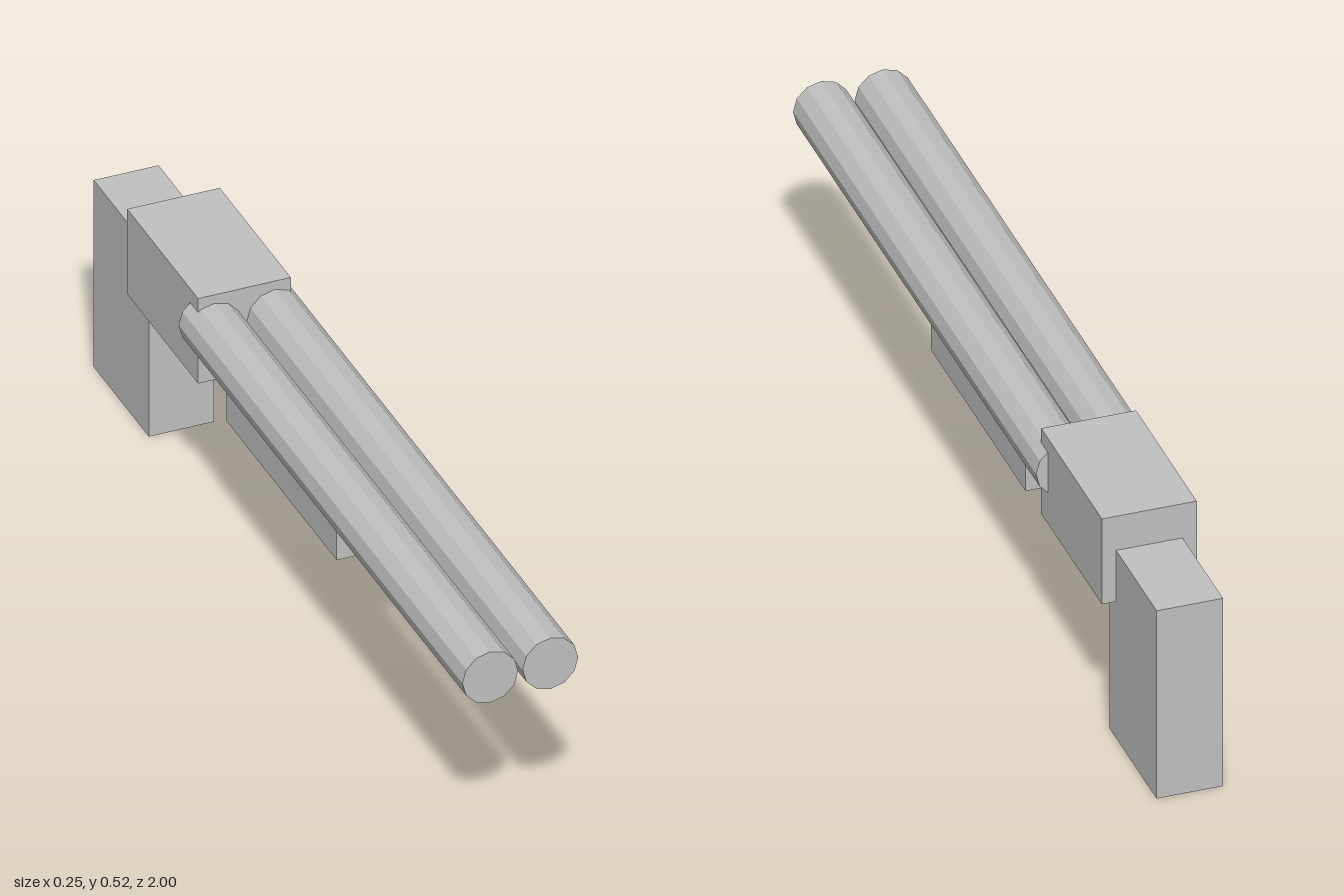
import * as THREE from 'three';

export function createModel() {
  const model = new THREE.Group();
  const grey = new THREE.MeshStandardMaterial({ color: 0xc0c0c0 });
  grey.name = 'plain grey';
  grey.flatShading = true;

  const add = (name, geometry, x, y, z) => {
    const mesh = new THREE.Mesh(geometry, grey);
    mesh.name = name;
    mesh.position.set(x, y, z);
    model.add(mesh);
  };

  // Twin twelve-sided barrels, seated slightly into the receiver
  for (const [name, side] of [['leftBarrel', 1], ['rightBarrel', -1]]) {
    const barrel = new THREE.CylinderGeometry(0.06, 0.06, 1.44, 12).rotateX(Math.PI / 2);
    add(name, barrel, side * 0.065, 0.44, 0.28);
  }

  // Blocks: fore-end under the barrels, receiver, and upright stock
  add('foreEnd', new THREE.BoxGeometry(0.18, 0.1, 0.56), 0, 0.35, 0);
  add('receiver', new THREE.BoxGeometry(0.2, 0.2, 0.36), 0, 0.42, -0.58);
  add('stock', new THREE.BoxGeometry(0.14, 0.44, 0.28), 0, 0.22, -0.86);

  return model;
}
